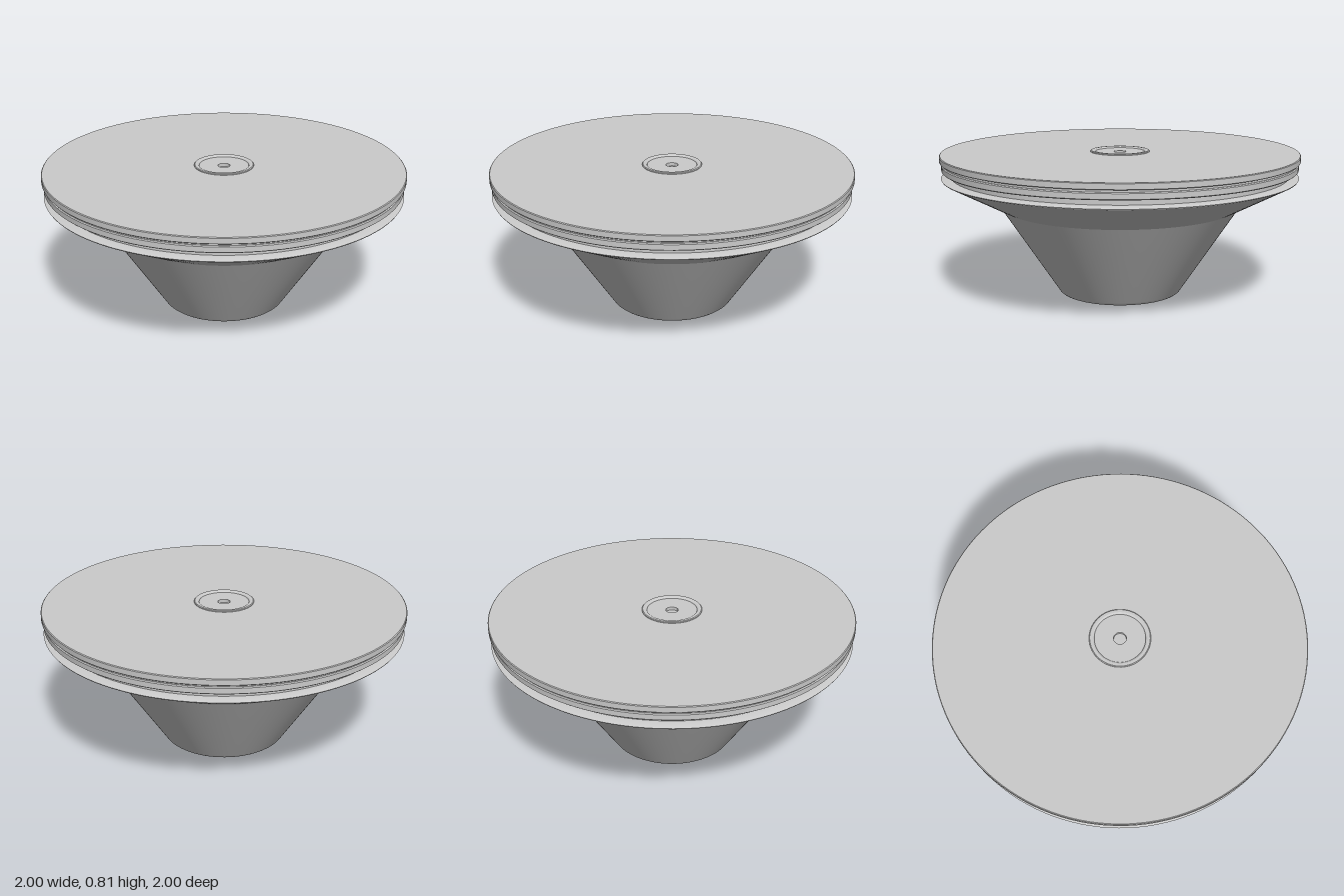
import * as THREE from 'three';
import { toCreasedNormals } from 'three/addons/utils/BufferGeometryUtils.js';

const material = new THREE.MeshStandardMaterial({ color: 0xcccccc });

// Turned part from a profile of [radius, height], running bottom to top along the outside
function turned(name, profile, segments = 128) {
  const points = profile.map(([r, y]) => new THREE.Vector2(r, y));
  const geometry = toCreasedNormals(new THREE.LatheGeometry(points, segments), 0.4);
  const mesh = new THREE.Mesh(geometry, material);
  mesh.name = name;
  return mesh;
}

export function createModel() {
  const model = new THREE.Group();
  model.name = 'turntableStand';

  // Conical foot with a softened bottom edge, flaring to a thin lip
  model.add(turned('base', [
    [0, 0], [0.325, 0], [0.336, 0.003], [0.345, 0.01], [0.352, 0.02],
    [0.67, 0.5], [0.99, 0.668], [0.993, 0.673], [0.985, 0.676], [0.94, 0.682], [0, 0.682],
  ]));

  // Recessed neck between the base and the platter
  model.add(turned('neck', [[0, 0.675], [0.94, 0.675], [0.94, 0.72], [0, 0.72]]));

  // Lower disc of the platter
  model.add(turned('lowerPlatter', [
    [0, 0.714], [0.984, 0.714], [0.99, 0.719], [0.99, 0.747], [0.985, 0.752], [0, 0.752],
  ]));

  // Narrow groove between the discs
  model.add(turned('groove', [[0, 0.745], [0.982, 0.745], [0.982, 0.77], [0, 0.77]]));

  // Upper disc, left open in the middle for the hub
  model.add(turned('upperPlatter', [
    [0, 0.765], [0.997, 0.765], [1, 0.768], [1, 0.796], [0.996, 0.8], [0.15, 0.8],
  ]));

  // Hub: raised ring, slightly sunken face and a small centre hole
  model.add(turned('hub', [
    [0.165, 0.795], [0.165, 0.804], [0.161, 0.808], [0.146, 0.808], [0.14, 0.805],
    [0.137, 0.8], [0.037, 0.8], [0.034, 0.798], [0.034, 0.78], [0, 0.78],
  ], 64));

  return model;
}
